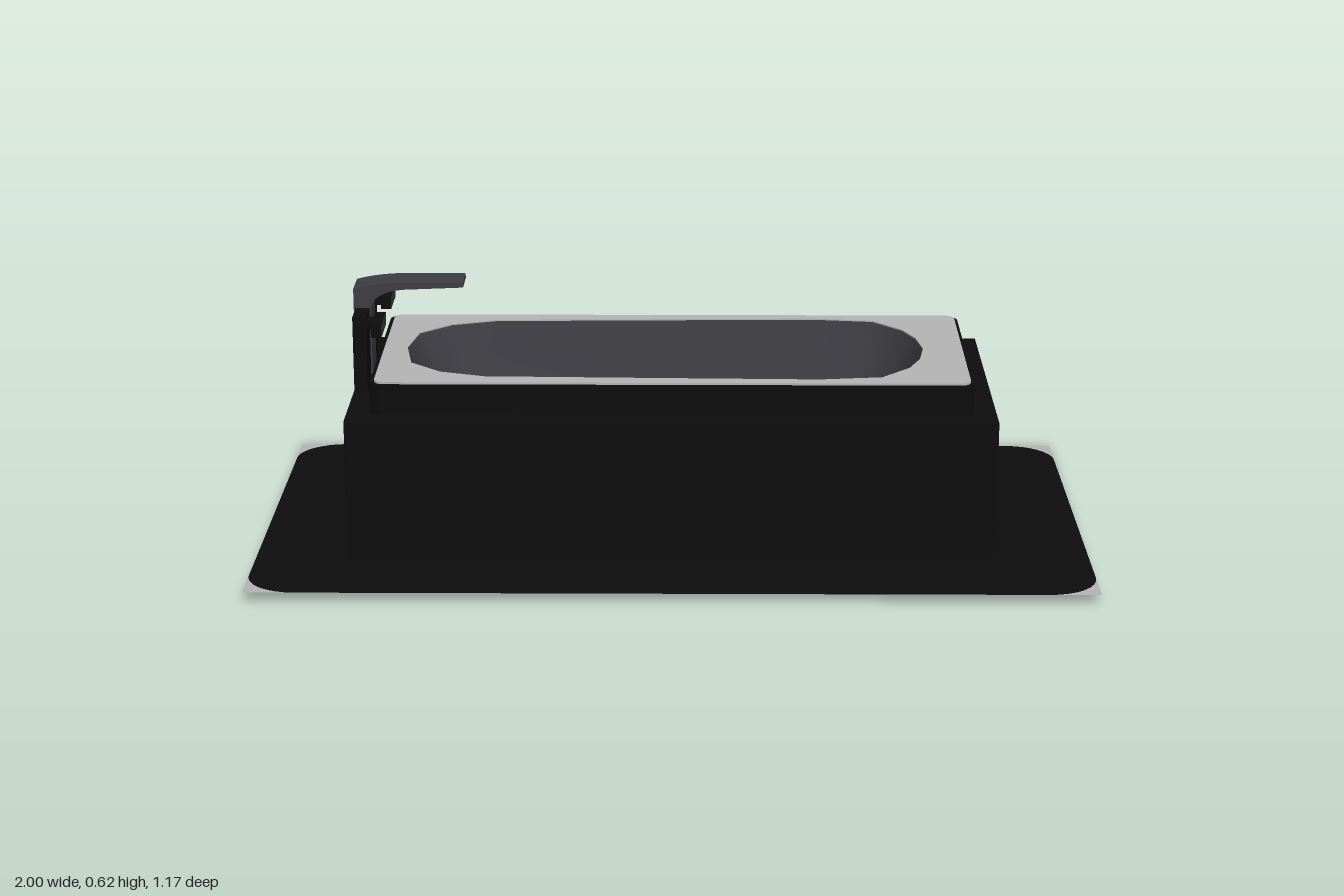
import * as THREE from 'three';

const mat = (name, color, side = THREE.FrontSide) => {
  const m = new THREE.MeshStandardMaterial({ color, side });
  m.name = name;
  return m;
};

// half outline of the basin opening as [x, z], mirrored across z
const HALF = [[-0.655, 0], [-0.635, 0.13], [-0.56, 0.205], [-0.45, 0.243], [-0.05, 0.253],
  [0.35, 0.262], [0.5, 0.243], [0.57, 0.165], [0.6, 0.09], [0.613, 0]];
const OUTLINE = [...HALF, ...HALF.slice(1, -1).reverse().map(([x, z]) => [x, -z])];

function roundedRect(x0, x1, hz, r) {
  const s = new THREE.Shape();
  s.moveTo(x0 + r, -hz);
  s.lineTo(x1 - r, -hz).absarc(x1 - r, -hz + r, r, -Math.PI / 2, 0);
  s.lineTo(x1, hz - r).absarc(x1 - r, hz - r, r, 0, Math.PI / 2);
  s.lineTo(x0 + r, hz).absarc(x0 + r, hz - r, r, Math.PI / 2, Math.PI);
  s.lineTo(x0, -hz + r).absarc(x0 + r, -hz + r, r, Math.PI, Math.PI * 1.5);
  return s;
}

// horizontal slab with the basin opening cut out
function slab(x0, x1, hz, r, y0, y1) {
  const s = roundedRect(x0, x1, hz, r);
  s.holes.push(new THREE.Path(OUTLINE.map(([x, z]) => new THREE.Vector2(x, z))));
  const g = new THREE.ExtrudeGeometry(s, { depth: y1 - y0, bevelEnabled: false, curveSegments: 6 });
  return g.rotateX(-Math.PI / 2).translate(0, y0, 0);
}

// basin lofted from shrinking rings, closed with a floor
function basinGeometry() {
  const rings = [[0.444, 1], [0.38, 0.965], [0.28, 0.92], [0.2, 0.86], [0.15, 0.78], [0.125, 0.66], [0.12, 0.5]];
  const n = OUTLINE.length, pos = [], idx = [];
  for (const [y, k] of rings) {
    for (const [x, z] of OUTLINE) pos.push(x * k, y, z * k);
  }
  pos.push(0, 0.12, 0);
  for (let i = 0; i < n; i++) {
    const j = (i + 1) % n;
    for (let r = 0; r < rings.length - 1; r++) {
      const a = r * n + i, b = r * n + j;
      idx.push(a, a + n, b, b, a + n, b + n);
    }
    const last = (rings.length - 1) * n;
    idx.push(last + i, rings.length * n, last + j);
  }
  const g = new THREE.BufferGeometry();
  g.setAttribute('position', new THREE.Float32BufferAttribute(pos, 3));
  g.setIndex(idx);
  g.computeVertexNormals();
  return g;
}

export function createModel() {
  const root = new THREE.Group();
  const black = mat('black', 0x0d0d0d);
  const blackSheet = mat('black mat', 0x0d0d0d, THREE.DoubleSide);
  blackSheet.name = 'black';
  const grey = mat('dark grey', 0x3e3d43);
  const basinGrey = mat('basin grey', 0x403f45, THREE.DoubleSide);
  const light = mat('light grey', 0xb6b6b6);
  const lightSheet = mat('light corner', 0xb6b6b6, THREE.DoubleSide);

  const add = (name, geo, material, parent = root) => {
    const m = new THREE.Mesh(geo, material);
    m.name = name;
    parent.add(m);
    return m;
  };
  const box = (name, x0, x1, y0, y1, z0, z1, material) =>
    add(name, new THREE.BoxGeometry(x1 - x0, y1 - y0, z1 - z0)
      .translate((x0 + x1) / 2, (y0 + y1) / 2, (z0 + z1) / 2), material);

  // slightly sloping floor mat with pale corners
  const floor = new THREE.Group();
  floor.name = 'floorMat';
  floor.rotation.x = -Math.PI / 2 - 0.0205;
  floor.position.y = 0.0125;
  root.add(floor);
  const HZ = 0.586, R = 0.12;
  add('mat', new THREE.ShapeGeometry(roundedRect(-1, 1, HZ, R), 8), blackSheet, floor);
  for (const sx of [-1, 1]) for (const sz of [-1, 1]) {
    const c = new THREE.Shape();
    c.moveTo(sx, sz * HZ);
    for (let i = 0; i <= 8; i++) {
      const a = (i / 8) * Math.PI / 2;
      c.lineTo(sx * (1 - R + R * Math.cos(a)), sz * (HZ - R + R * Math.sin(a)));
    }
    add('matCorner', new THREE.ShapeGeometry(c), lightSheet, floor);
  }

  // surround, tub body and rim
  add('surround', slab(-0.778, 0.772, 0.357, 0.003, 0.005, 0.368), black);
  add('tubBody', slab(-0.722, 0.718, 0.301, 0.03, 0.368, 0.442), black);
  add('rim', slab(-0.712, 0.71, 0.293, 0.025, 0.442, 0.447), light);
  add('basin', basinGeometry(), basinGrey);

  // tap: back plate, post, spout and handles
  box('tapBackPlate', -0.775, -0.742, 0.36, 0.56, -0.13, 0.13, black);
  box('tapPost', -0.78, -0.738, 0.005, 0.565, -0.046, 0.046, grey);
  const s = new THREE.Shape();
  s.moveTo(-0.78, 0.56);
  s.lineTo(-0.738, 0.56);
  s.quadraticCurveTo(-0.73, 0.6, -0.66, 0.606);
  s.lineTo(-0.512, 0.612);
  s.lineTo(-0.512, 0.624);
  s.lineTo(-0.68, 0.623);
  s.quadraticCurveTo(-0.74, 0.62, -0.78, 0.608);
  add('spout', new THREE.ExtrudeGeometry(s, { depth: 0.092, bevelEnabled: false, curveSegments: 6 })
    .translate(0, 0, -0.046), grey);
  const handleMats = [grey, black, black, black, black, black];
  for (const sz of [-1, 1]) {
    const c = sz * 0.127;
    box('handle', -0.725, -0.7, 0.525, 0.556, c - 0.061, c + 0.061, handleMats);
    box('handleStem', -0.745, -0.72, 0.53, 0.55, sz * 0.105 - 0.02, sz * 0.105 + 0.02, black);
  }
  return root;
}
